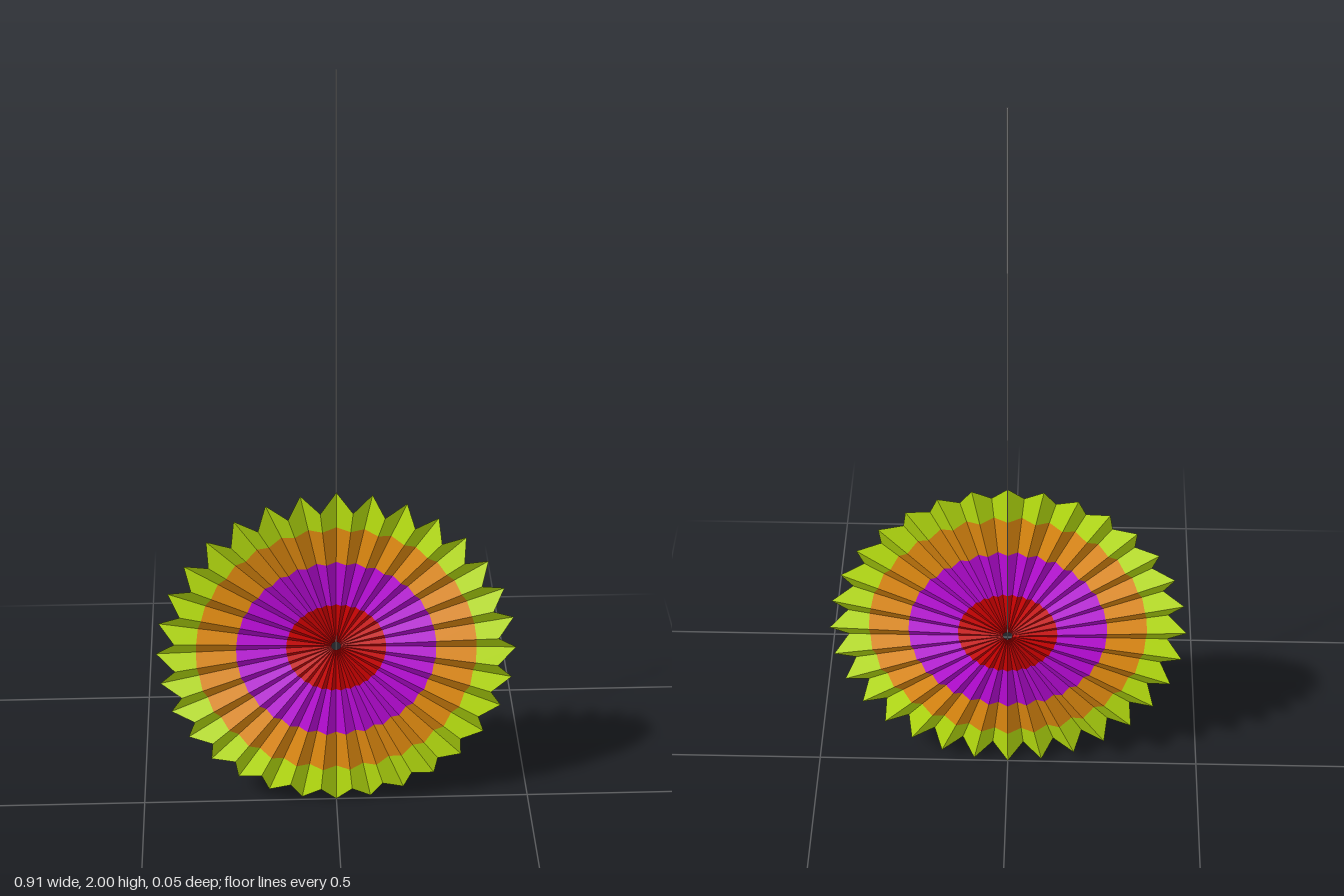
import * as THREE from 'three';

const PLEATS = 32;
const CENTRE_Y = 0.457;
const TIP_R = 0.457;      // back folds reach out to the points
const NOTCH_R = 0.412;    // front folds end in the notches
const HUB_Z = -0.022;
const NOTCH_Z = 0.024;

const flat = (name, color, side = THREE.FrontSide) => {
  const m = new THREE.MeshStandardMaterial({ color, side, flatShading: true });
  m.name = name;
  return m;
};

// point on fold i at radius r: even folds lie at the back, odd folds stand forward
function foldPoint(i, r) {
  const a = Math.PI / 2 + (i * Math.PI) / PLEATS;
  const z = i % 2 === 0 ? HUB_Z * (1 - r / TIP_R) : HUB_Z + (NOTCH_Z - HUB_Z) * (r / NOTCH_R);
  return [r * Math.cos(a), r * Math.sin(a), z];
}

// one coloured ring of pleated paper; outer radii differ for back and front folds
function pleatedRing(inner, outerBack, outerFront) {
  const pos = [];
  for (let i = 0; i < PLEATS * 2; i++) {
    const outer = (k) => (k % 2 === 0 ? outerBack : outerFront);
    const a = foldPoint(i, inner);
    const b = foldPoint(i, outer(i));
    const c = foldPoint(i + 1, outer(i + 1));
    const d = foldPoint(i + 1, inner);
    pos.push(...a, ...b, ...c, ...a, ...c, ...d);
  }
  const g = new THREE.BufferGeometry();
  g.setAttribute('position', new THREE.Float32BufferAttribute(pos, 3));
  g.computeVertexNormals();
  return g;
}

export function createModel() {
  const model = new THREE.Group();
  model.name = 'hangingPaperFan';

  // pleated rosette with a small open centre
  const fan = new THREE.Group();
  fan.name = 'pleatedRosette';
  fan.position.y = CENTRE_Y;
  const rings = [
    ['centreRing', 'red paper', 0xcc0000, 0.012, 0.127, 0.127],
    ['innerRing', 'purple paper', 0xb80ad6, 0.127, 0.254, 0.254],
    ['middleRing', 'orange paper', 0xe08a10, 0.254, 0.356, 0.356],
    ['outerRing', 'lime paper', 0xb8e010, 0.356, TIP_R, NOTCH_R],
  ];
  for (const [name, paper, color, inner, outerBack, outerFront] of rings) {
    const mesh = new THREE.Mesh(
      pleatedRing(inner, outerBack, outerFront),
      flat(paper, color, THREE.DoubleSide)
    );
    mesh.name = name;
    fan.add(mesh);
  }
  model.add(fan);

  // hanging string behind the rosette, from its centre upward
  const bottom = CENTRE_Y - 0.012;
  const length = 2 - bottom;
  const string = new THREE.Mesh(
    new THREE.CylinderGeometry(0.002, 0.002, length, 6),
    flat('pale string', 0xd8d8d8)
  );
  string.name = 'hangingString';
  string.position.set(0, bottom + length / 2, HUB_Z);
  model.add(string);

  return model;
}
